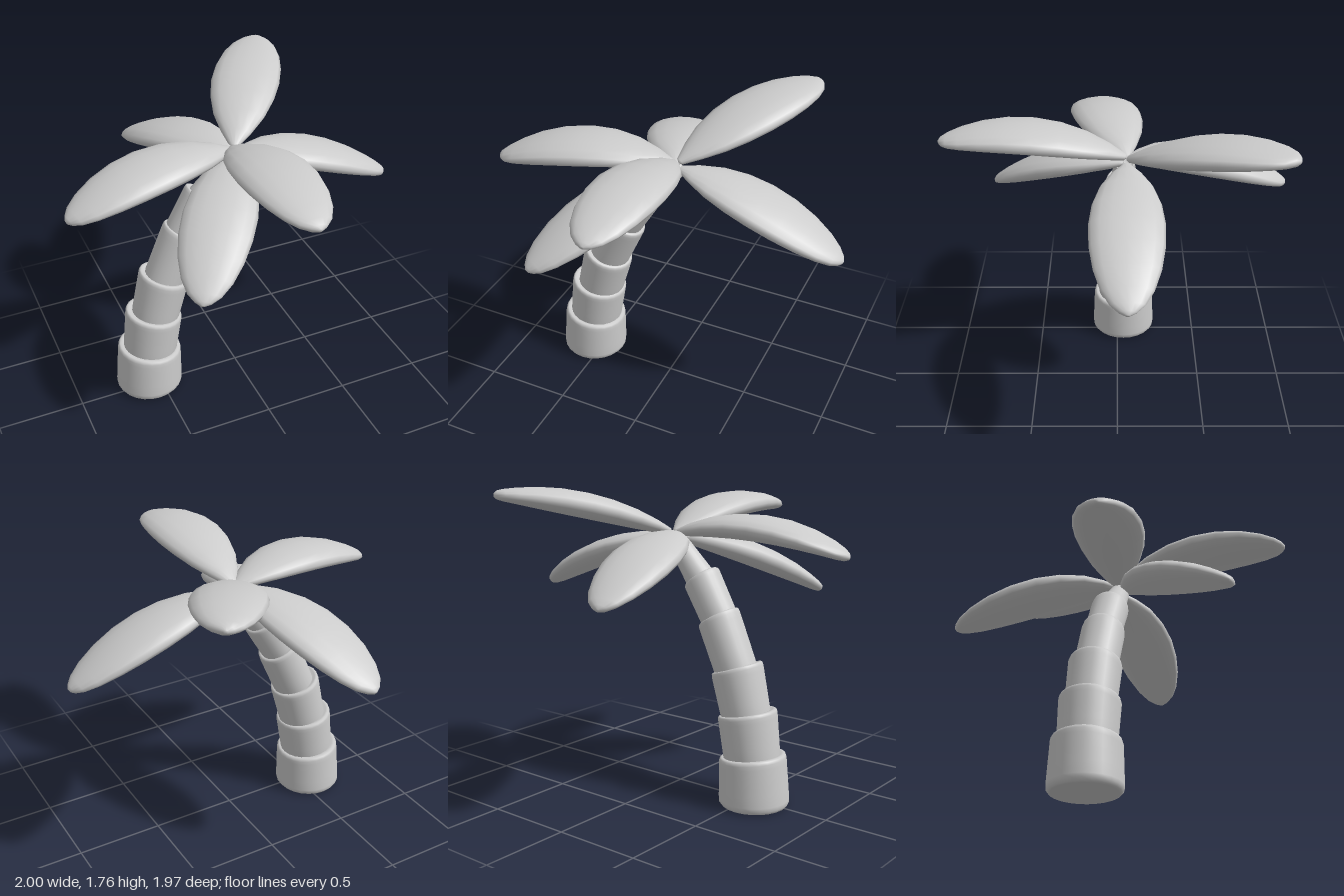
import * as THREE from 'three';

const V = (x, y, z) => new THREE.Vector3(x, y, z);
const material = new THREE.MeshStandardMaterial({ color: 0xcccccc });

// Smooth skin through elliptical rings {c: centre, u, v: radius vectors}
function loft(rings, sides, name) {
  const pos = [], index = [];
  rings.forEach(({ c, u, v }, i) => {
    for (let j = 0; j < sides; j++) {
      const t = (j / sides) * Math.PI * 2;
      const p = c.clone().addScaledVector(u, Math.cos(t)).addScaledVector(v, Math.sin(t));
      pos.push(p.x, p.y, p.z);
      if (i === rings.length - 1) continue;
      const a = i * sides + j, b = i * sides + (j + 1) % sides;
      index.push(a, b, a + sides, b, b + sides, a + sides);
    }
  });
  const geo = new THREE.BufferGeometry();
  geo.setAttribute('position', new THREE.Float32BufferAttribute(pos, 3));
  geo.setIndex(index);
  geo.computeVertexNormals();
  const mesh = new THREE.Mesh(geo, material);
  mesh.name = name;
  return mesh;
}

// Trunk segment between two tilted ends [x, y, radius, lean in radians]
function trunkSegment(bottom, top, name) {
  const profile = [[0, 0], [0, 0.88], [0.015, 0.93], [0.07, 0.99], [0.14, 1], [0.35, 1], [0.6, 1],
    [0.85, 1], [0.93, 1], [0.98, 0.98], [1, 0.93], [1, 0.85], [0.97, 0.7], [0.97, 0]];
  const rings = profile.map(([t, k]) => {
    const [x, y, r, a] = bottom.map((b, i) => THREE.MathUtils.lerp(b, top[i], t));
    return {
      c: V(x, y, -0.04),
      u: V(0, 0, r * k),
      v: V(Math.cos(a), -Math.sin(a), 0).multiplyScalar(r * k),
    };
  });
  return loft(rings, 24, name);
}

// Plump leaf along an arc through base, middle and tip
function leaf(base, mid, tip, name) {
  const curve = new THREE.QuadraticBezierCurve3(base,
    mid.clone().multiplyScalar(2).addScaledVector(base, -0.5).addScaledVector(tip, -0.5), tip);
  // [position along the arc, half width, half thickness]
  const profile = [[0, 0, 0], [0.01, 0.025, 0.02], [0.1, 0.085, 0.038], [0.22, 0.145, 0.055],
    [0.36, 0.184, 0.067], [0.5, 0.2, 0.071], [0.64, 0.195, 0.068], [0.77, 0.172, 0.058],
    [0.88, 0.133, 0.044], [0.95, 0.088, 0.033], [0.985, 0.045, 0.024], [1, 0.012, 0.01], [1, 0, 0]];
  const rings = profile.map(([t, w, h]) => {
    const dir = curve.getTangent(t);
    const side = V(0, 1, 0).cross(dir).normalize();
    return {
      c: curve.getPoint(t),
      u: side.clone().multiplyScalar(w),
      v: dir.cross(side).multiplyScalar(h),
    };
  });
  return loft(rings, 16, name);
}

export function createModel() {
  const model = new THREE.Group();
  model.name = 'palmTree';

  // Leaning trunk of stacked, tapering segments
  const trunk = new THREE.Group();
  trunk.name = 'trunk';
  const segments = [
    [[-0.56, 0, 0.2, 0], [-0.545, 0.285, 0.188, 0.12]],
    [[-0.545, 0.24, 0.158, 0.12], [-0.505, 0.525, 0.168, 0.2]],
    [[-0.505, 0.47, 0.138, 0.2], [-0.43, 0.77, 0.149, 0.33]],
    [[-0.44, 0.72, 0.12, 0.33], [-0.3, 1.04, 0.124, 0.54]],
    [[-0.325, 1, 0.104, 0.54], [-0.18, 1.25, 0.11, 0.65]],
    [[-0.21, 1.2, 0.09, 0.65], [0.02, 1.47, 0.055, 0.76]],
  ];
  segments.forEach(([a, b], i) => trunk.add(trunkSegment(a, b, `trunkSegment${i + 1}`)));
  model.add(trunk);

  // Crown of six leaves at different heights
  const crown = new THREE.Group();
  crown.name = 'crown';
  const leaves = [
    ['frontLeaf', V(0, 1.49, -0.05), V(0, 1.62, 0.46), V(0, 1.585, 0.975)],
    ['leftLeaf', V(0.03, 1.46, -0.05), V(0.51, 1.352, -0.05), V(0.995, 1.12, -0.05)],
    ['rightLeaf', V(0, 1.485, -0.05), V(-0.5, 1.535, 0.06), V(-1, 1.4, 0.155)],
    ['backRightLeaf', V(0, 1.48, -0.05), V(-0.165, 1.405, -0.5), V(-0.275, 1.205, -0.985)],
    ['frontRightLeaf', V(0.03, 1.47, -0.03), V(-0.235, 1.355, 0.34), V(-0.5, 1.12, 0.73)],
    ['backLeftLeaf', V(0.02, 1.49, -0.06), V(0.28, 1.652, -0.48), V(0.545, 1.72, -0.9)],
  ];
  for (const [name, base, mid, tip] of leaves) crown.add(leaf(base, mid, tip, name));
  model.add(crown);

  return model;
}
